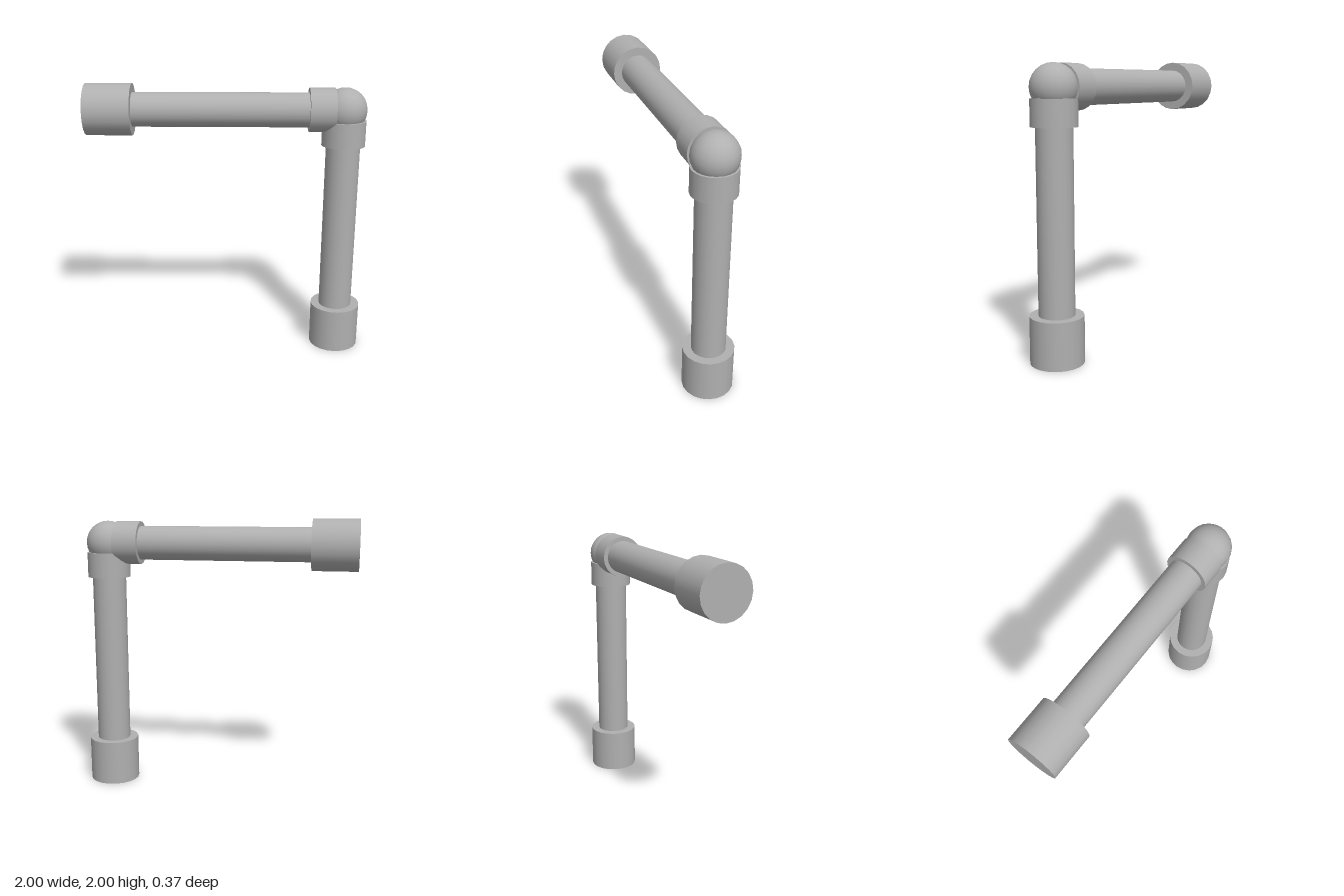
import * as THREE from 'three';

const AXIS_X = 0.815, AXIS_Y = 1.817;

export function createModel() {
  const model = new THREE.Group();
  const grey = new THREE.MeshStandardMaterial({ color: 0xb0b0b0 });
  grey.name = 'pipe grey';

  // one arm pointing along +y from the elbow centre: collar, pipe and end socket
  function makeArm(name) {
    const arm = new THREE.Group();
    arm.name = name;
    const parts = [
      ['collar', 0.155, 0.07, 0.25],
      ['pipe', 0.122, 0.2, 1.5],
      ['endSocket', 0.183, 1.49, 1.816],
    ];
    for (const [part, radius, from, to] of parts) {
      const mesh = new THREE.Mesh(new THREE.CylinderGeometry(radius, radius, to - from, 20), grey);
      mesh.name = part;
      mesh.position.y = (from + to) / 2;
      arm.add(mesh);
    }
    arm.position.set(AXIS_X, AXIS_Y, 0);
    model.add(arm);
    return arm;
  }

  makeArm('verticalArm').rotation.z = Math.PI;
  makeArm('horizontalArm').rotation.z = Math.PI / 2;

  // rounded elbow joining both arms
  const elbow = new THREE.Mesh(new THREE.SphereGeometry(0.157, 20, 12), grey);
  elbow.name = 'elbowBall';
  elbow.position.set(AXIS_X, AXIS_Y, 0);
  model.add(elbow);

  return model;
}
